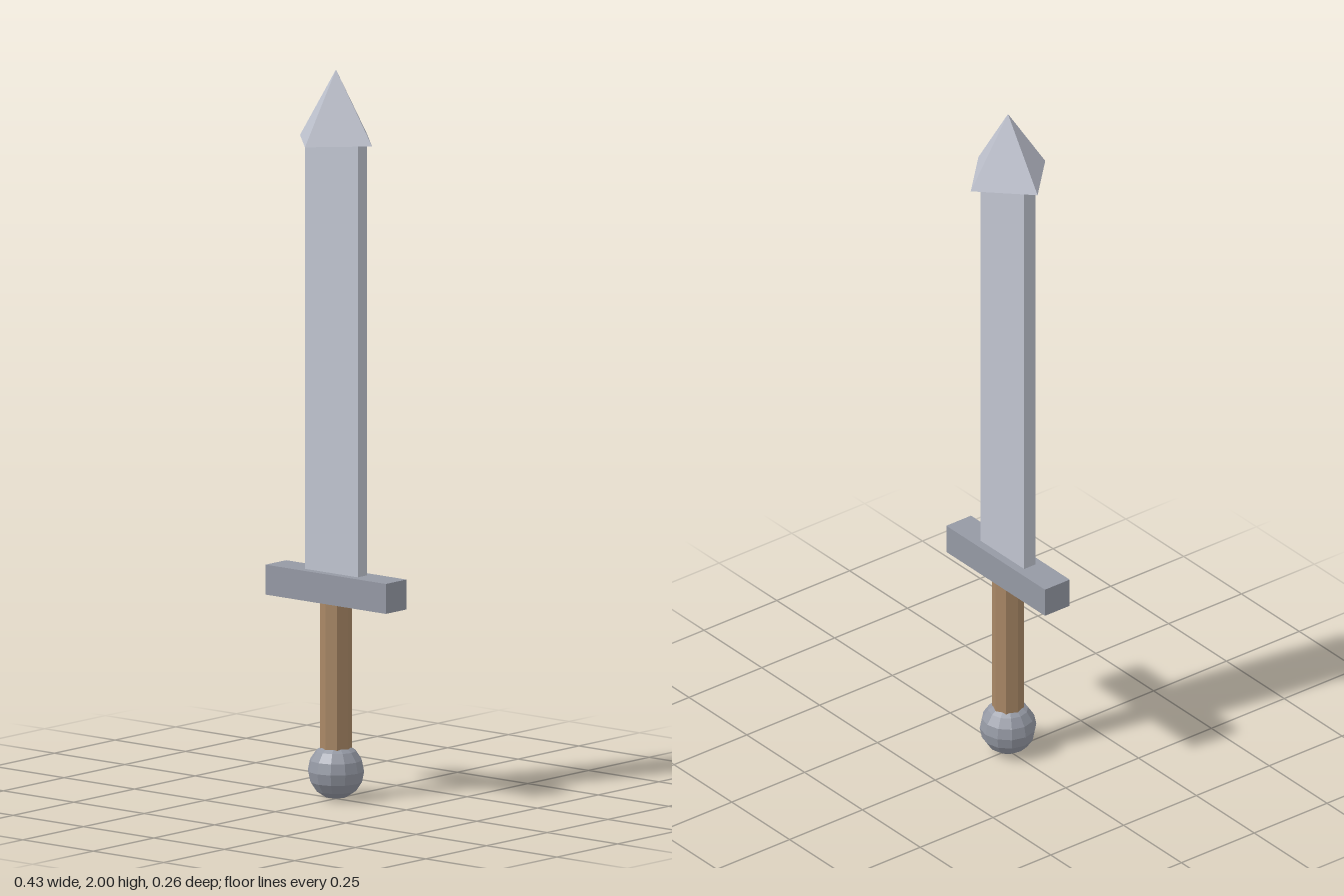
import * as THREE from 'three';

const material = (color) => new THREE.MeshStandardMaterial({ color, flatShading: true });

export function createModel() {
  const group = new THREE.Group();
  group.name = 'sword';

  const steel = material(0xc0c4d0);
  const darkSteel = material(0x9599a4);
  const wood = material(0xa98866);

  const add = (name, geometry, mat, y) => {
    const mesh = new THREE.Mesh(geometry, mat);
    mesh.name = name;
    mesh.position.y = y;
    group.add(mesh);
  };

  // Faceted ball at the foot of the handle
  add('pommel', new THREE.SphereGeometry(0.077, 12, 8), darkSteel, 0.081);

  // Eight-sided wooden handle, sunk slightly into the pommel
  add('grip', new THREE.CylinderGeometry(0.043, 0.043, 0.427, 8), wood, 0.329);

  // Crossguard bar
  add('crossguard', new THREE.BoxGeometry(0.427, 0.082, 0.085), darkSteel, 0.583);

  // Flat blade
  add('blade', new THREE.BoxGeometry(0.188, 1.181, 0.038), steel, 1.2145);

  // Four-sided point, wider than the blade, corners on the x and z axes
  add('bladeTip', new THREE.ConeGeometry(0.128, 0.195, 4), steel, 1.9025);

  return group;
}
